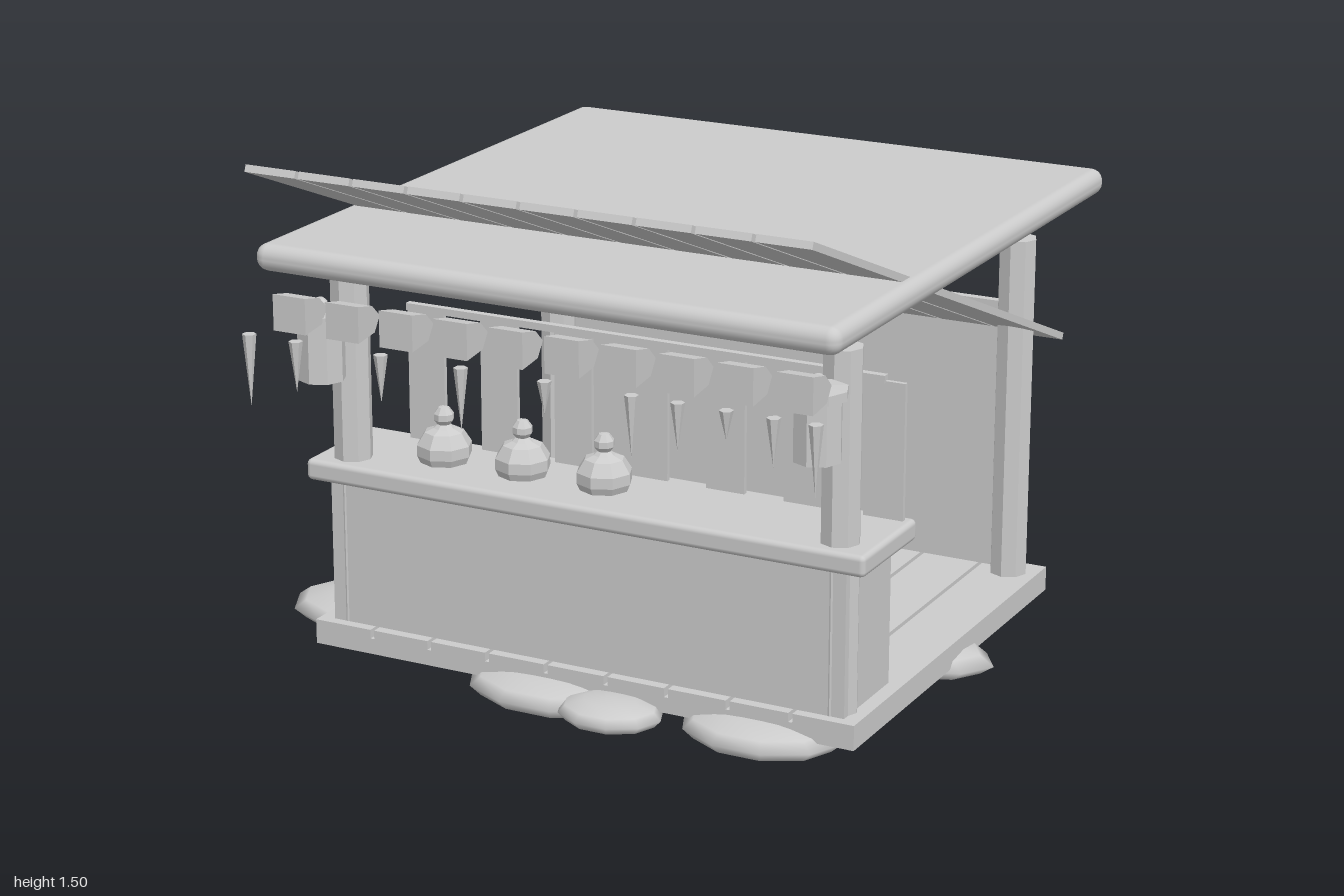
import * as THREE from 'three';
import { RoundedBoxGeometry } from 'three/addons/geometries/RoundedBoxGeometry.js';

const CX = 0.093; // centre line of the stall, shifted by the stones around it

export function createModel() {
  const group = new THREE.Group();
  const grey = new THREE.MeshStandardMaterial({ color: 0xcccccc });
  grey.name = 'plain grey';
  const greyFlat = grey;

  const add = (name, geometry, x, y, z, parent = group) => {
    const mesh = new THREE.Mesh(geometry, greyFlat);
    mesh.name = name;
    mesh.position.set(x, y, z);
    parent.add(mesh);
    return mesh;
  };
  // box given by its limits
  const box = (name, x0, x1, y0, y1, z0, z1, parent) =>
    add(name, new THREE.BoxGeometry(x1 - x0, y1 - y0, z1 - z0),
      (x0 + x1) / 2, (y0 + y1) / 2, (z0 + z1) / 2, parent);
  // faceted copy of a geometry
  const facet = (g) => {
    const f = g.index ? g.toNonIndexed() : g;
    f.computeVertexNormals();
    return f;
  };
  const lathe = (points, sides) =>
    facet(new THREE.LatheGeometry(points.map((p) => new THREE.Vector2(p[0], p[1])), sides));

  // floor: solid base with nine planks on top
  box('floorBase', -0.725, 0.91, 0.07, 0.115, -0.66, 0.66);
  const floorPitch = 1.635 / 9;
  for (let i = 0; i < 9; i++) {
    const x = -0.725 + i * floorPitch;
    box('floorPlank', x + (i ? 0.006 : 0), x + floorPitch - (i < 8 ? 0.006 : 0), 0.115, 0.14, -0.66, 0.66);
  }

  // four octagonal posts
  const postGeo = facet(new THREE.CylinderGeometry(0.054, 0.054, 0.99, 8));
  for (const side of [-1, 1]) {
    for (const z of [0.578, -0.578]) add('post', postGeo, CX + side * 0.733, 0.635, z);
  }

  // back wall
  box('backWall', CX - 0.765, CX + 0.765, 0.14, 0.93, -0.63, -0.605);

  // counter
  box('counterBody', CX - 0.775, CX + 0.775, 0.14, 0.55, 0.35, 0.63);
  add('counterTop', new RoundedBoxGeometry(1.675, 0.06, 0.335, 2, 0.015), CX, 0.575, 0.4925);

  // slatted screen behind the counter
  for (let i = 0; i < 7; i++) {
    const x = -0.53 + i * 0.23;
    box('screenSlat', x - 0.057, x + 0.057, 0.6, 0.98, 0.355, 0.368);
  }
  box('screenRail', -0.59, 0.91 - 0.06, 0.975, 0.995, 0.351, 0.372);

  // flat roof slab
  add('roof', new RoundedBoxGeometry(1.7, 0.075, 1.805, 3, 0.034), CX, 1.225, -0.035);

  // sloping awning planks passing through the roof
  const awning = new THREE.Group();
  awning.name = 'awning';
  awning.position.set(CX, 1.15, 0.1);
  awning.rotation.x = -Math.atan2(0.68, 1.68);
  group.add(awning);
  for (let i = 0; i < 10; i++) {
    add('awningPlank', new THREE.BoxGeometry(0.153, 0.02, 1.81), (i - 4.5) * 0.1638, 0, 0, awning);
  }

  // small hanging blocks with a pointed back, one under each plank
  const blockShape = new THREE.Shape([
    [0.87, 1.135], [0.80, 1.12], [0.763, 1.085], [0.79, 1.045], [0.87, 1.035],
  ].map((p) => new THREE.Vector2(-p[0], p[1])));
  const blockGeo = new THREE.ExtrudeGeometry(blockShape, { depth: 0.1, bevelEnabled: false });
  blockGeo.rotateY(Math.PI / 2);
  for (let i = 0; i < 10; i++) {
    add('hangingBlock', blockGeo, CX + (i - 4.5) * 0.1638 - 0.05, 0, 0);
  }

  // corner lanterns
  const lanternGeo = lathe([[0, 0.87], [0.065, 0.87], [0.065, 1.035], [0.08, 1.035],
    [0.08, 1.06], [0.02, 1.065], [0.02, 1.085], [0.01, 1.095], [0, 1.095]], 8);
  for (const side of [-1, 1]) add('lantern', lanternGeo, CX + side * 0.733, 0, 0.725);

  // icicle spikes: position across and length
  const spikes = [[-0.735, 0.2], [-0.59, 0.14], [-0.33, 0.13], [-0.09, 0.17], [0.155, 0.09],
    [0.405, 0.17], [0.535, 0.13], [0.67, 0.08], [0.80, 0.13], [0.915, 0.19]];
  for (const [x, length] of spikes) {
    const cone = facet(new THREE.ConeGeometry(0.019, length, 6));
    cone.rotateX(Math.PI);
    add('spike', cone, x, 1.035 - length / 2, 0.925);
  }

  // stoppered jars on the counter
  const jarGeo = lathe([[0, 0], [0.068, 0], [0.077, 0.02], [0.077, 0.05], [0.055, 0.085],
    [0.03, 0.095], [0.018, 0.105], [0.028, 0.118], [0.028, 0.135], [0.015, 0.153], [0, 0.155]], 8);
  for (const x of [-0.402, -0.157, 0.093]) add('jar', jarGeo, x, 0.605, 0.493);

  // flattened stones under the floor: x, z, half width, half depth
  const stones = [
    [0.70, -0.06, 0.30, 0.15], [0.62, 0.60, 0.23, 0.17], [0.22, 0.70, 0.15, 0.12],
    [-0.01, 0.60, 0.25, 0.17], [-0.32, 0.27, 0.18, 0.14], [-0.72, 0.32, 0.28, 0.19],
    [-0.85, 0.04, 0.15, 0.10], [-0.33, -0.19, 0.20, 0.16], [-0.43, -0.41, 0.21, 0.17],
  ];
  const stoneGeo = new THREE.SphereGeometry(1, 10, 6);
  stones.forEach(([x, z, w, d], i) => {
    const h = w > 0.2 ? 0.054 : 0.042;
    const stone = add('stone', stoneGeo, x, 0.062 - (i % 2) * 0.008, z);
    stone.scale.set(w, h, d);
  });

  return group;
}
